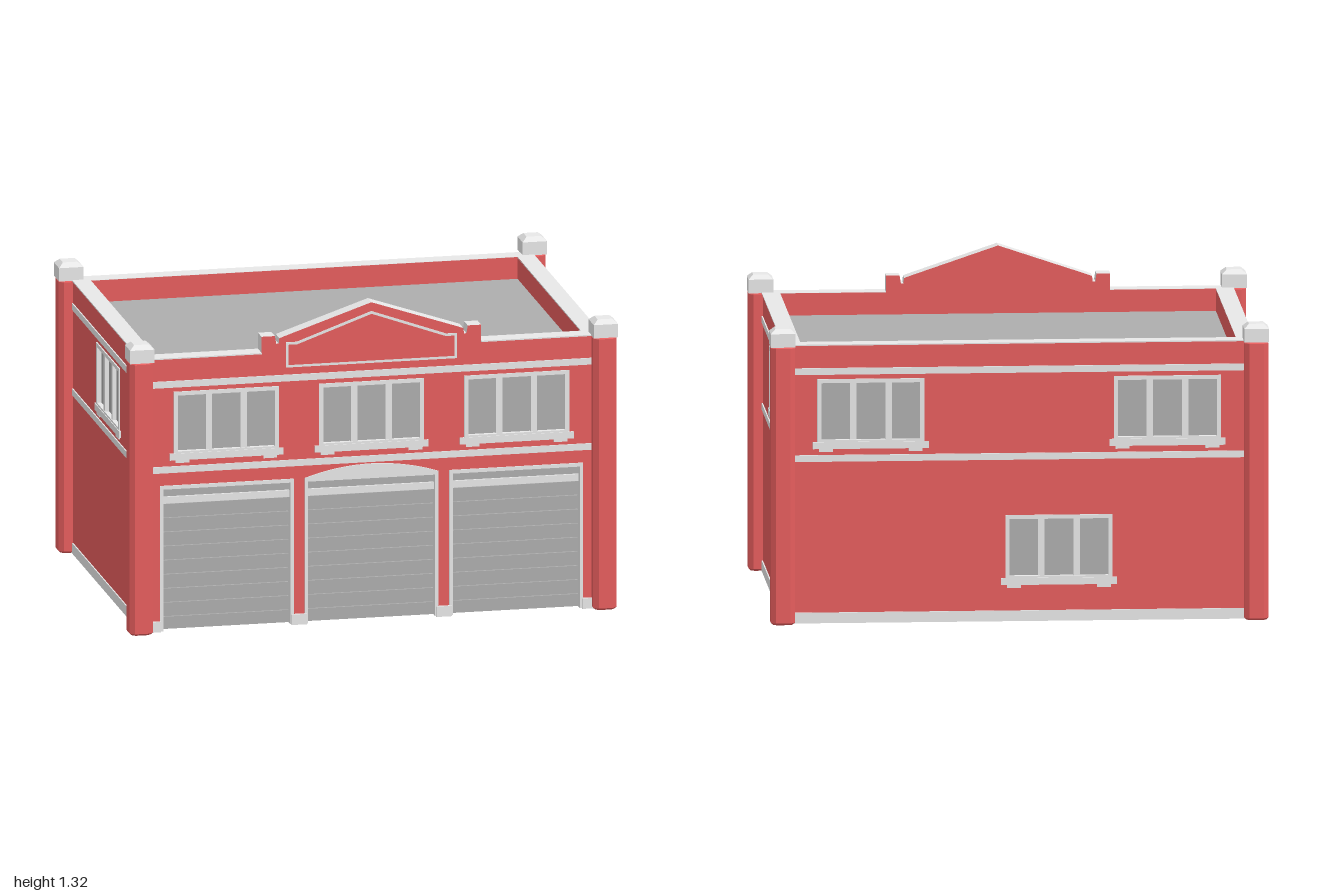
import * as THREE from 'three';

const mat = (name, color) => {
  const m = new THREE.MeshStandardMaterial({ color });
  m.name = name;
  return m;
};

export function createModel() {
  const brick = mat('red brick', 0xe55d5d);
  const stone = mat('light stone', 0xe7e7e7);
  const grey = mat('mid grey', 0xad_ad_ad);

  const model = new THREE.Group();
  model.name = 'garageBuilding';
  const HX = 0.942, HZ = 0.663, T = 0.068, TOP = 1.13, PROUD = 0.005;

  const add = (parent, name, geo, material) => {
    const m = new THREE.Mesh(geo, material);
    m.name = name;
    parent.add(m);
    return m;
  };
  // Box given by its min and max corners
  const box = (parent, name, x0, x1, y0, y1, z0, z1, material) => {
    const m = add(parent, name, new THREE.BoxGeometry(x1 - x0, y1 - y0, z1 - z0), material);
    m.position.set((x0 + x1) / 2, (y0 + y1) / 2, (z0 + z1) / 2);
    return m;
  };
  const toShape = pts => new THREE.Shape(pts.map(p => new THREE.Vector2(p[0], p[1])));
  const toPath = pts => new THREE.Path(pts.map(p => new THREE.Vector2(p[0], p[1])));
  const extrude = (shape, depth) =>
    new THREE.ExtrudeGeometry(shape, { depth, bevelEnabled: false, curveSegments: 16 });
  const mirror = half => [...half, ...half.filter(p => p[0] !== 0).reverse().map(([x, y]) => [-x, y])];

  // Three-light window; x is the centre, y the sill top
  function addWindow(parent, x, y) {
    const g = new THREE.Group();
    g.name = 'window';
    g.position.set(x, y, 0);
    parent.add(g);
    const w = 0.215, h = 0.255;
    for (const s of [-1, 1]) {
      const jamb = box(g, 'windowJamb', -0.0085, 0.0085, 0, h, -0.02, PROUD, stone);
      jamb.position.x = s * (w - 0.0085);
      box(g, 'mullion', s * 0.071 - 0.013, s * 0.071 + 0.013, 0, h, -0.02, 0.002, stone);
      box(g, 'sillBracket', s * 0.18 - 0.028, s * 0.18 + 0.028, -0.04, -0.026, -0.01, PROUD, stone);
    }
    box(g, 'windowHead', -w, w, h - 0.016, h, -0.02, PROUD, stone);
    box(g, 'windowFoot', -w, w, 0, 0.008, -0.02, PROUD, stone);
    box(g, 'windowSill', -0.233, 0.233, -0.028, 0, -0.01, 0.008, stone);
    box(g, 'windowPane', -w + 0.01, w - 0.01, 0.004, h - 0.01, -0.022, -0.014, grey);
  }

  // Wall with its outer face on local z = 0
  function addWall(name, outline, windows, half, angle, x, z) {
    const g = new THREE.Group();
    g.name = name;
    g.position.set(x, 0, z);
    g.rotation.y = angle;
    model.add(g);
    const shape = toShape(outline);
    for (const [wx, wy] of windows) {
      shape.holes.push(toPath([[wx - 0.2, wy + 0.003], [wx - 0.2, wy + 0.245],
        [wx + 0.2, wy + 0.245], [wx + 0.2, wy + 0.003]]));
      addWindow(g, wx, wy);
    }
    add(g, name + 'Masonry', extrude(shape, T).translate(0, 0, -T), [brick, stone]);
    for (const [y0, y1] of [[0.655, 0.682], [1.008, 1.035]])
      box(g, 'stoneBand', -half, half, y0, y1, -0.01, PROUD, stone);
    return g;
  }

  // Plain side and back walls, their ends hidden inside the corner pillars
  const rect = h => [[-h, 0.002], [h, 0.002], [h, TOP], [-h, TOP]];
  const W = 0.735, SIDE = 0.64, LONG = 0.92;
  const walls = [
    [addWall('rightWall', rect(SIDE), [[0.048, W]], SIDE, Math.PI / 2, HX, 0), SIDE],
    [addWall('leftWall', rect(SIDE), [[0.048, W]], SIDE, -Math.PI / 2, -HX, 0), SIDE],
    [addWall('backWall', rect(LONG), [[-0.595, W], [0.595, W], [0.16, W - 0.56]], LONG, Math.PI, 0, -HZ), LONG],
  ];
  for (const [g, half] of walls) {
    box(g, 'basePlinth', -half, half, 0, 0.043, -0.02, PROUD, stone);
    box(g, 'coping', -half, half, TOP - 0.004, TOP + 0.001, -T, PROUD, stone);
  }

  // Front wall with three door openings and a gabled parapet
  const DX = 0.593, DW = 0.274, DH = 0.6;
  const front = addWall('frontWall', mirror([
    [-DW, DH], [-DW, 0.002], [-DX + DW, 0.002], [-DX + DW, DH], [-DX - DW, DH], [-DX - DW, 0.002],
    [-LONG, 0.002], [-LONG, TOP], [-0.45, TOP], [-0.45, 1.197], [-0.395, 1.197], [-0.39, 1.165],
    [-0.38, 1.165], [-0.377, 1.187], [-0.355, 1.195], [0, 1.315],
  ]), [[-0.595, W], [0, W], [0.595, W]], LONG, 0, 0, HZ);
  box(front, 'coping', -LONG, -0.45, TOP - 0.004, TOP + 0.001, -T, PROUD, stone);
  box(front, 'coping', 0.45, LONG, TOP - 0.004, TOP + 0.001, -T, PROUD, stone);

  // Thin outline panel on the gable
  const panel = toShape(mirror([[-0.35, 1.065], [-0.35, 1.169], [-0.306, 1.169], [0, 1.279]]));
  panel.holes.push(toPath(mirror([[-0.34, 1.075], [-0.34, 1.159], [-0.304, 1.159], [0, 1.268]])));
  add(front, 'gableOutline', extrude(panel, 0.006).translate(0, 0, -0.002), stone);

  // Plinths under the front piers
  for (const s of [-1, 1]) {
    const p = box(front, 'pierPlinth', -0.031, 0.031, 0, 0.043, -0.06, 0.012, stone);
    p.position.x = s * 0.297;
    const e = box(front, 'endPlinth', -0.022, 0.022, 0, 0.043, -0.06, 0.012, stone);
    e.position.x = s * 0.886;
  }

  // Slatted roll-up doors
  const slats = 9, sh = 0.525 / slats;
  const profile = [[-0.02, 0]];
  for (let i = 0; i < slats; i++) {
    const y = i * sh;
    profile.push([0, y], [0, y + sh - 0.008], [-0.01, y + sh - 0.008], [-0.01, y + sh]);
  }
  profile.push([-0.02, 0.525]);
  const doorGeo = extrude(toShape(profile), 0.53).translate(0, 0, -0.265).rotateY(-Math.PI / 2);
  for (const x of [-DX, 0, DX]) {
    const g = new THREE.Group();
    g.name = 'garageDoor';
    g.position.x = x;
    front.add(g);
    add(g, 'doorSlats', doorGeo, grey).position.set(0, 0.002, -0.03);
    for (const s of [-1, 1]) {
      const j = box(g, 'doorJamb', -0.007, 0.007, 0.002, DH, -0.06, PROUD, stone);
      j.position.x = s * (DW - 0.007);
    }
    box(g, 'doorHead', -DW, DW, DH - 0.012, DH + 0.003, -0.06, PROUD, stone);
    box(g, 'doorLintel', -0.265, 0.265, 0.524, 0.552, -0.05, -0.015, stone);
    box(g, 'transomPanel', -0.265, 0.265, 0.55, 0.59, -0.05, -0.025, grey);
  }

  // Shallow arch over the middle door
  const arch = new THREE.Shape();
  arch.moveTo(-DW, DH - 0.005);
  arch.lineTo(DW, DH - 0.005);
  arch.lineTo(DW, DH + 0.003);
  arch.quadraticCurveTo(0, 0.694, -DW, DH + 0.003);
  add(front, 'doorArch', extrude(arch, 0.012).translate(0, 0, -0.006), stone);

  // Roof deck and floor slab
  box(model, 'roof', -HX + T, HX - T, 1.02, 1.04, -HZ + T, HZ - T, grey);
  box(model, 'floor', -HX, HX, 0, 0.01, -HZ, 0.615, stone);

  // Chamfered corner pillars with capstones
  const a = 0.04, c = 0.026, b = 0.008;
  const pillarGeo = new THREE.ExtrudeGeometry(
    toShape([[a, -c], [a, c], [c, a], [-c, a], [-a, c], [-a, -c], [-c, -a], [c, -a]]),
    { depth: TOP - 2 * b, bevelThickness: b, bevelSize: b, bevelSegments: 1 })
    .translate(0, 0, b).rotateX(-Math.PI / 2);
  const capTop = new THREE.CylinderGeometry(0.03 * Math.SQRT2, 0.05 * Math.SQRT2, 0.018, 4)
    .rotateY(Math.PI / 4).toNonIndexed();
  capTop.computeVertexNormals();
  for (const x of [-0.95, 0.95]) for (const z of [-0.667, 0.667]) {
    const g = new THREE.Group();
    g.name = 'cornerPillar';
    g.position.set(x, 0, z);
    model.add(g);
    add(g, 'pillarShaft', pillarGeo, brick);
    box(g, 'pillarCap', -0.05, 0.05, 1.128, 1.183, -0.05, 0.05, stone);
    add(g, 'pillarCapTop', capTop, stone).position.y = 1.192;
  }
  return model;
}
